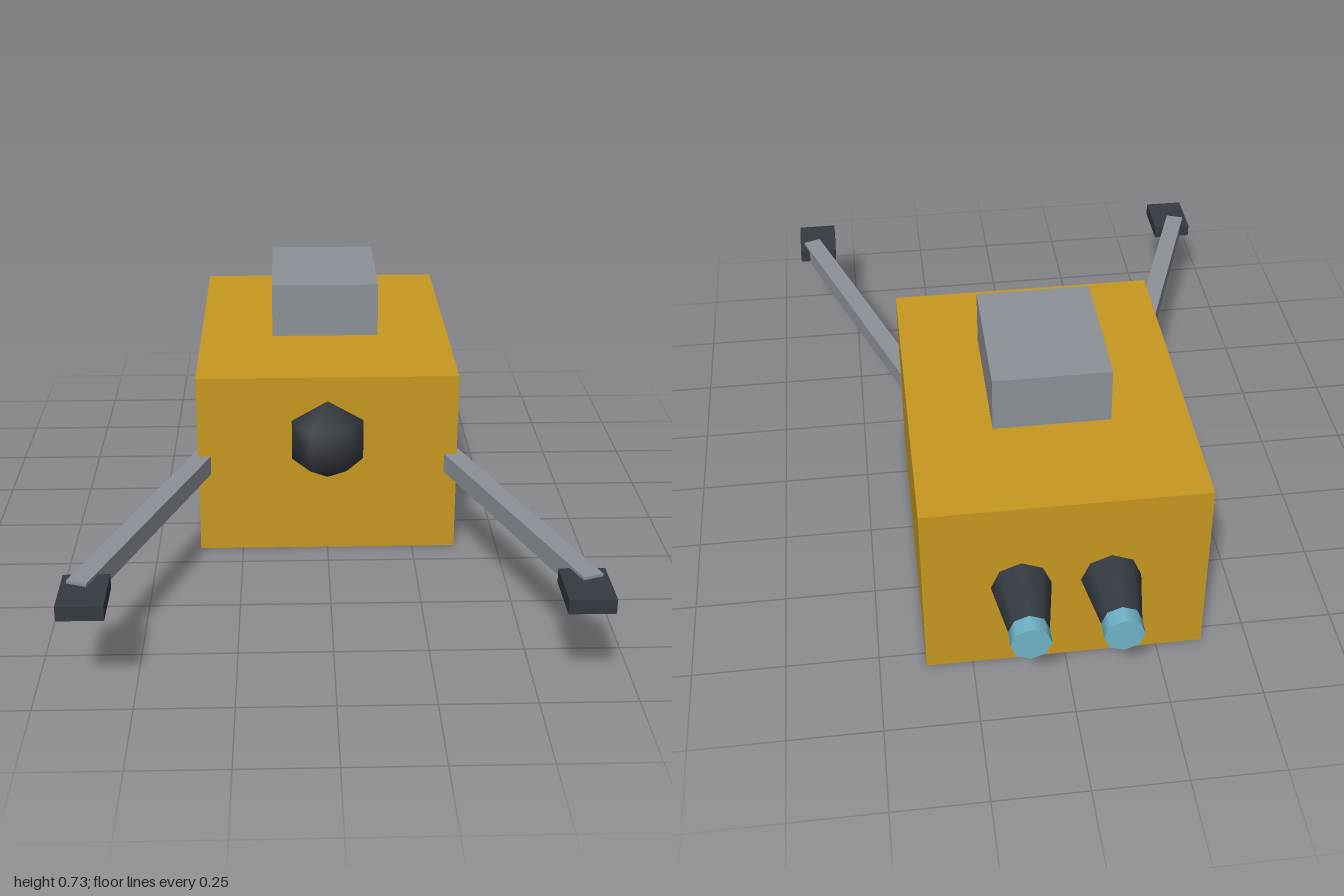
import * as THREE from 'three';

export function createModel() {
  const model = new THREE.Group();
  const mat = (name, color) => {
    const m = new THREE.MeshStandardMaterial({ color });
    m.name = name;
    return m;
  };
  const gold = mat('gold', 0xc89820);
  const grey = mat('grey', 0x8c9298);
  const dark = mat('charcoal', 0x343a40);
  const blue = mat('pale blue', 0x70b6ca);

  const add = (name, geometry, material, x, y, z) => {
    const mesh = new THREE.Mesh(geometry, material);
    mesh.name = name;
    mesh.position.set(x, y, z);
    model.add(mesh);
    return mesh;
  };

  // Hull and the block hovering just above it
  add('hull', new THREE.BoxGeometry(0.75, 0.54, 0.96), gold, 0, 0.27, -0.315);
  add('roofBlock', new THREE.BoxGeometry(0.315, 0.158, 0.396), grey, 0, 0.646, -0.31);

  // Faceted dome set into the front face
  add('frontSensor', new THREE.SphereGeometry(0.119, 6, 3), dark, 0, 0.349, 0.167);

  // Mirrored thrusters, arms and grippers
  for (const [side, s] of [['left', 1], ['right', -1]]) {
    const nozzle = new THREE.CylinderGeometry(0.08, 0.053, 0.16, 8).rotateX(Math.PI / 2);
    add(side + 'Nozzle', nozzle, dark, s * 0.118, 0.273, -0.873);

    const glow = new THREE.CylinderGeometry(0.053, 0.053, 0.07, 8).rotateX(Math.PI / 2);
    add(side + 'NozzleTip', glow, blue, s * 0.118, 0.273, -0.965);

    const arm = add(side + 'Arm', new THREE.BoxGeometry(0.055, 0.056, 0.82), grey, s * 0.4935, 0.27, 0.51);
    arm.rotation.y = s * 0.35;

    add(side + 'Gripper', new THREE.BoxGeometry(0.117, 0.039, 0.158), dark, s * 0.615, 0.27, 0.921);
  }
  return model;
}
